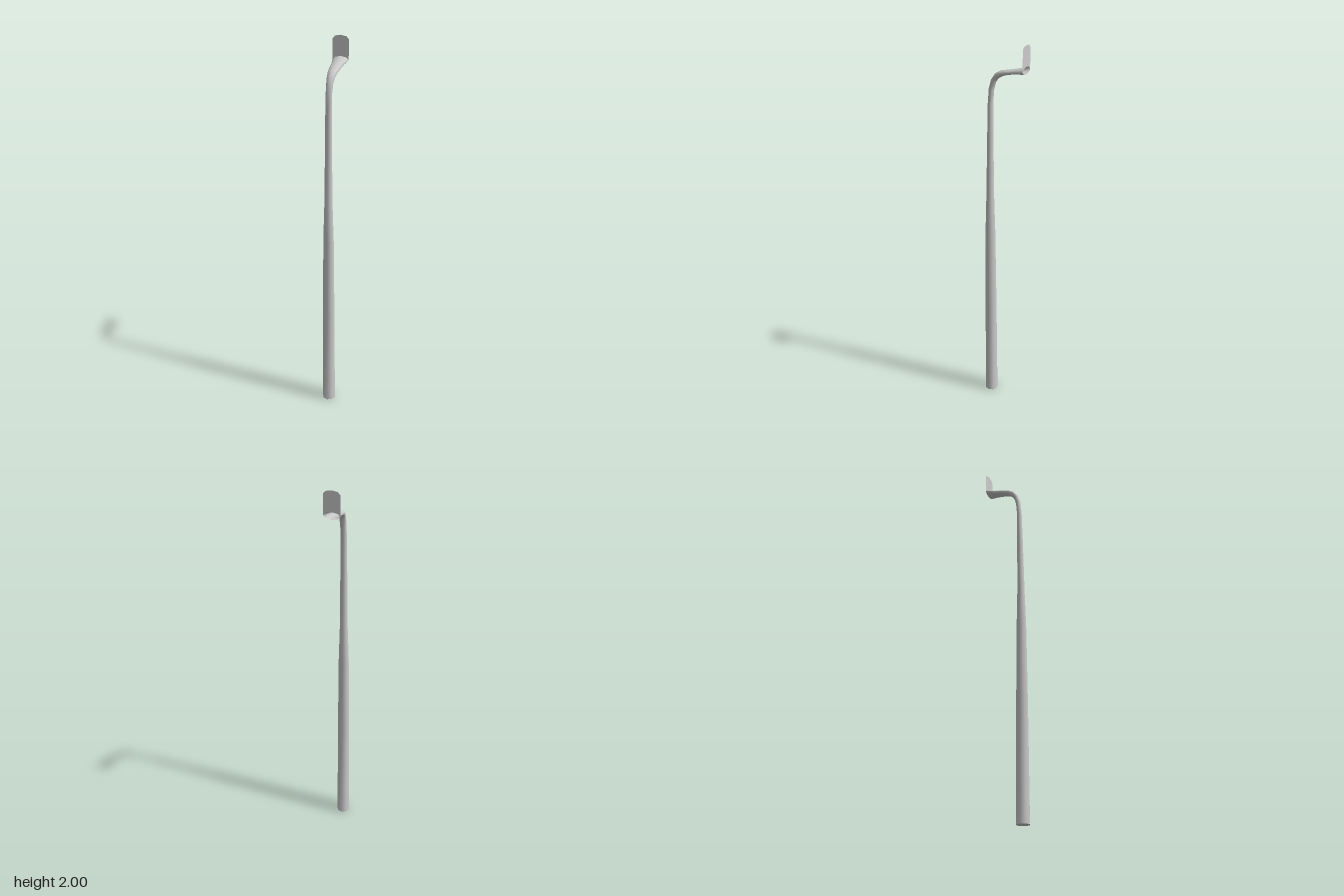
import * as THREE from 'three';

const SIDES = 8;
const END = { z: -0.115, y: 1.881, w: 0.04, h: 0.018 };

// Centre z, centre y, half width, half depth, turn from upright to horizontal in degrees
const RINGS = [
  [0.081, 0, 0.035, 0.034, 0],
  [0.081, 0.55, 0.032, 0.031, 0],
  [0.081, 1.0, 0.028, 0.026, 0],
  [0.080, 1.22, 0.021, 0.020, 0],
  [0.077, 1.5, 0.018, 0.016, 1],
  [0.074, 1.7, 0.016, 0.013, 5],
  [0.068, 1.77, 0.016, 0.013, 14],
  [0.056, 1.812, 0.017, 0.014, 32],
  [0.038, 1.838, 0.020, 0.014, 52],
  [0.012, 1.853, 0.024, 0.014, 72],
  [-0.025, 1.863, 0.028, 0.012, 82],
  [-0.07, 1.872, 0.032, 0.013, 86],
  [END.z, END.y, END.w, END.h, 90],
];

// Joins eight-sided rings into one smooth tube
function tubeGeometry(rings) {
  const pos = [], index = [];
  rings.forEach(([z, y, w, h, deg], i) => {
    const t = THREE.MathUtils.degToRad(deg);
    for (let j = 0; j < SIDES; j++) {
      const a = (j / SIDES) * Math.PI * 2;
      const d = h * Math.cos(a);
      pos.push(w * Math.sin(a), y + d * Math.sin(t), z + d * Math.cos(t));
      if (i === rings.length - 1) continue;
      const p = i * SIDES + j, q = i * SIDES + (j + 1) % SIDES;
      index.push(p, q, q + SIDES, p, q + SIDES, p + SIDES);
    }
  });
  const geo = new THREE.BufferGeometry();
  geo.setAttribute('position', new THREE.Float32BufferAttribute(pos, 3));
  geo.setIndex(index);
  geo.computeVertexNormals();
  return geo;
}

export function createModel() {
  const group = new THREE.Group();
  const material = new THREE.MeshStandardMaterial({ color: 0xcccccc, side: THREE.DoubleSide });
  const add = (name, geometry) => {
    const mesh = new THREE.Mesh(geometry, material);
    mesh.name = name;
    group.add(mesh);
    return mesh;
  };

  // Tapered post bending back into a flattened, flared arm with an open end
  add('postAndArm', tubeGeometry(RINGS));

  // Closed foot of the post
  const [z0, , w0, h0] = RINGS[0];
  const foot = add('foot', new THREE.CircleGeometry(1, SIDES));
  foot.rotation.x = Math.PI / 2;
  foot.scale.set(w0, h0, 1);
  foot.position.z = z0;

  // Upright plate rising from the upper half of the arm's end
  const arc = (rise) => [0, 1, 2, 3, 4].map((k) => {
    const a = (k / 4) * Math.PI;
    return new THREE.Vector2(END.w * Math.cos(a), END.y + rise + END.h * Math.sin(a));
  });
  const plate = add('endPlate', new THREE.ShapeGeometry(
    new THREE.Shape([...arc(0.101), ...arc(0).reverse()])));
  plate.position.z = END.z;

  return group;
}
